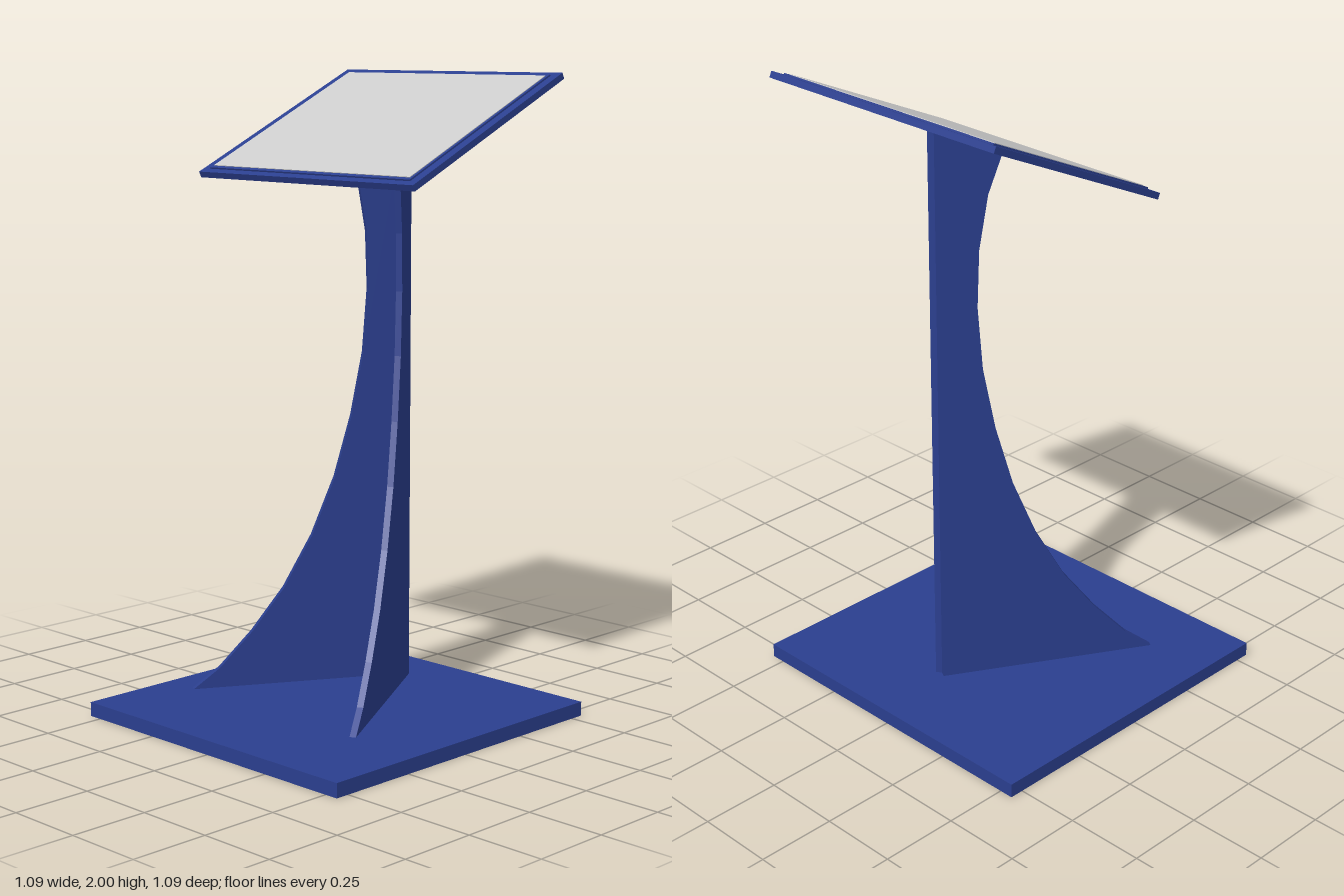
import * as THREE from 'three';

export function createModel() {
  const group = new THREE.Group();
  const navy = new THREE.MeshStandardMaterial({ color: 0x2b3f8f, flatShading: true });
  const grey = new THREE.MeshStandardMaterial({ color: 0xcccccc, flatShading: true });

  function box(name, w, h, d, x, y, z, material, parent) {
    const mesh = new THREE.Mesh(new THREE.BoxGeometry(w, h, d), material);
    mesh.name = name;
    mesh.position.set(x, y, z);
    parent.add(mesh);
    return mesh;
  }

  // Square floor plate
  box('base', 1.09, 0.045, 1.09, 0, 0.0225, 0, navy, group);

  // Two curved fins that meet at the back and splay 30 degrees to each side
  const backZ = -0.306, splay = Math.PI / 6, thickness = 0.02;
  const frontEdge = [ // [z, y] as seen from the side
    [0.29, 0.075], [0.215, 0.14], [0.125, 0.25], [0.035, 0.385], [-0.045, 0.55],
    [-0.11, 0.735], [-0.157, 0.93], [-0.19, 1.13], [-0.203, 1.33], [-0.198, 1.51],
    [-0.174, 1.68], [-0.135, 1.808],
  ];
  const profile = new THREE.Shape();
  profile.moveTo(0, 0.075);
  frontEdge.forEach(([z, y]) => profile.lineTo((z - backZ) / Math.cos(splay), y));
  profile.lineTo(0, 1.885);
  profile.closePath();

  for (const side of [1, -1]) {
    const geometry = new THREE.ExtrudeGeometry(profile, { depth: thickness, bevelEnabled: false });
    // Profile runs along +z, thickness goes outward from the shared inner line
    geometry.rotateY(-Math.PI / 2);
    if (side > 0) geometry.translate(thickness, 0, 0);
    geometry.rotateY(side * splay);
    geometry.translate(0, 0, backZ);
    const fin = new THREE.Mesh(geometry, navy);
    fin.name = side > 0 ? 'leftFin' : 'rightFin';
    group.add(fin);
  }

  // Tilted display: frame, raised bezel and screen
  const display = new THREE.Group();
  display.name = 'display';
  display.position.set(0, 1.8375, -0.186);
  display.rotation.x = THREE.MathUtils.degToRad(25);
  box('frame', 0.91, 0.02, 0.728, 0, 0, 0, navy, display);
  box('bezel', 0.85, 0.006, 0.684, 0, 0.012, 0, navy, display);
  box('screen', 0.832, 0.006, 0.66, 0, 0.014, 0, grey, display);
  group.add(display);

  return group;
}
